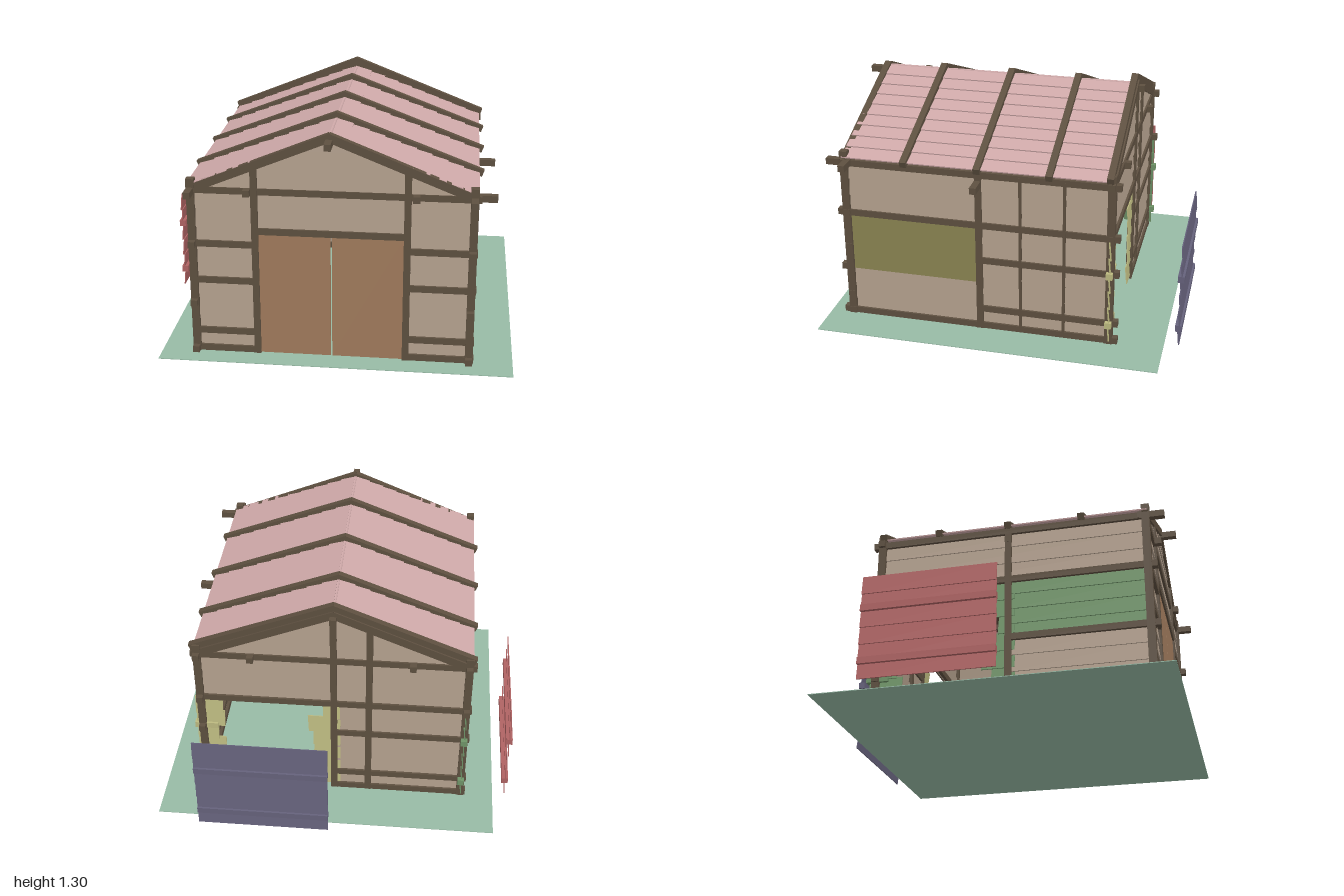
import * as THREE from 'three';

const X0 = -0.72, X1 = 0.755, XM = 0.01, Z0 = -0.6, Z1 = 0.87, ZM = 0.12;
const COLORS = {
  beam: 0x5e5040, wall: 0xb09d8b, door: 0xa17b5c, roof: 0xcfa9a9, ground: 0x98bba6,
  olive: 0x86804f, green: 0x6f9468, yellow: 0xbdba80, red: 0xb06464, blue: 0x66627c,
};
const mats = {};
for (const k in COLORS) {
  mats[k] = new THREE.MeshStandardMaterial({ color: COLORS[k], flatShading: true, side: THREE.DoubleSide });
}

// small seeded generator for uneven boards
let seed = 7;
const rnd = () => (seed = (seed * 16807) % 2147483647) / 2147483647;

function add(parent, name, geo, mat) {
  const m = new THREE.Mesh(geo, mats[mat]);
  m.name = name;
  parent.add(m);
  return m;
}

// box given by its min and max on each axis
function box(parent, name, xa, xb, ya, yb, za, zb, mat = 'beam') {
  const m = add(parent, name, new THREE.BoxGeometry(xb - xa, yb - ya, zb - za), mat);
  m.position.set((xa + xb) / 2, (ya + yb) / 2, (za + zb) / 2);
  return m;
}
const W = 0.018; // half thickness of timbers
const post = (p, name, x, z, top, w = W) => box(p, name, x - w, x + w, 0.005, top, z - w, z + w);
const beamX = (p, name, y, z, xa, xb) => box(p, name, xa, xb, y - W, y + W, z - W, z + W);
const beamZ = (p, name, y, x, za, zb) => box(p, name, x - W, x + W, y - W, y + W, za, zb);

// sloped timber in the x-y plane, following both roof slopes
function rafterPair(p, name, z, peakY, eaveY, xa, xb, t = 0.036, d = 0.036) {
  for (const end of [xa, xb]) {
    const dx = end - XM, dy = eaveY - peakY;
    const m = add(p, name, new THREE.BoxGeometry(Math.hypot(dx, dy) + 0.012, t, d), 'beam');
    m.position.set(XM + dx / 2, (peakY + eaveY) / 2, z);
    m.rotation.z = Math.atan2(dy, dx);
  }
}

// one lapped board: bottom edge a..b, top edge c..d, leaning outward at the foot
function board(p, a, b, c, d, y0, y1, mat) {
  const h = y1 - y0 + 0.008;
  const s = new THREE.Shape([[a, 0], [b, 0], [d, h], [c, h]].map(([u, v]) => new THREE.Vector2(u, v)));
  const m = add(p, 'board', new THREE.ExtrudeGeometry(s, { depth: 0.006, bevelEnabled: false }), mat);
  m.position.set(0, y0, 0.003);
  m.rotation.x = -0.1;
  return m;
}
function boards(p, a, b, y0, y1, n, mat = 'wall') {
  const h = (y1 - y0) / n;
  for (let i = 0; i < n; i++) board(p, a, b, a, b, y0 + i * h, y0 + (i + 1) * h, mat);
}
// broken board ends left at the edge of an opening; dir tells which way they reach
function brokenBoards(p, edge, dir, y0, y1, n, mat) {
  const h = (y1 - y0) / n;
  for (let i = 0; i < n; i++) {
    const r = edge + dir * (0.05 + 0.1 * rnd()), t = r + dir * 0.02 * (rnd() - 0.5);
    const q = edge - dir * 0.035;
    const [a, b, c, d] = dir > 0 ? [q, r, q, t] : [r, q, t, q];
    board(p, a, b, c, d, y0 + i * h, y0 + (i + 1) * h, mat);
  }
}
// boards narrowing towards the ridge
function gableBoards(p, mirror) {
  const n = 4, y0 = 0.94, h = 0.3 / n;
  for (let i = 0; i < n; i++) {
    const ya = y0 + i * h, yb = ya + h;
    const w = (y) => Math.min(0.735, (1.25 - y) / 0.4);
    board(p, mirror * XM - w(ya), mirror * XM + w(ya), mirror * XM - w(yb), mirror * XM + w(yb), ya, yb, 'wall');
  }
}
function wallGroup(parent, name, x, z, rotY) {
  const g = new THREE.Group();
  g.name = name;
  g.position.set(x, 0, z);
  g.rotation.y = rotY;
  parent.add(g);
  return g;
}

// detached boarded panel with two battens
function loosePanel(parent, name, mat, x, z, rotY, width) {
  const g = wallGroup(parent, name, x, z, rotY);
  boards(g, -width / 2, width / 2, 0.03, 0.61, 6, mat);
  for (const y of [0.13, 0.43]) box(g, 'batten', -width / 2, width / 2, y - W, y + W, -W, W, mat);
}

export function createModel() {
  seed = 7;
  const root = new THREE.Group();
  root.name = 'barn';
  box(root, 'ground', -0.91, 0.99, 0, 0.004, -0.9, 1, 'ground');

  // front wall and double door
  const front = wallGroup(root, 'frontWall', 0, Z1, 0);
  boards(front, X0, -0.385, 0.01, 0.94, 9);
  boards(front, 0.415, X1, 0.01, 0.94, 9);
  boards(front, -0.385, 0.415, 0.72, 0.94, 2);
  gableBoards(front, 1);
  box(root, 'doorRight', -0.37, 0.013, 0.008, 0.71, Z1 - 0.008, Z1 + 0.008, 'door');
  box(root, 'doorLeft', 0.021, 0.4, 0.008, 0.71, Z1 - 0.008, Z1 + 0.008, 'door');
  beamX(root, 'doorLintel', 0.72, Z1, -0.4, 0.42);

  // back wall: boarded on its right half, open on its left half
  const back = wallGroup(root, 'backWall', 0, Z0, Math.PI);
  boards(back, -XM, -X0, 0.01, 0.62, 6);
  boards(back, -X1, -X0, 0.62, 0.94, 3);
  gableBoards(back, -1);
  brokenBoards(back, -X1, 1, 0.03, 0.62, 6, 'yellow');
  brokenBoards(back, -XM, -1, 0.03, 0.62, 6, 'yellow');

  // left wall (+x), local x runs towards the back
  const left = wallGroup(root, 'leftWall', X1, 0, Math.PI / 2);
  boards(left, -Z1, -ZM, 0.01, 0.29, 3);
  boards(left, -Z1, -ZM, 0.29, 0.64, 4, 'olive');
  boards(left, -Z1, -ZM, 0.64, 0.94, 3);
  boards(left, -ZM, -Z0, 0.01, 0.94, 9);

  // right wall (-x), local x runs towards the front; open in its back half
  const right = wallGroup(root, 'rightWall', X0, 0, -Math.PI / 2);
  boards(right, ZM, Z1, 0.01, 0.29, 3);
  boards(right, ZM, Z1, 0.29, 0.64, 4, 'green');
  boards(right, Z0, Z1, 0.64, 0.94, 3);
  brokenBoards(right, Z0, 1, 0.03, 0.62, 6, 'green');
  brokenBoards(right, ZM, -1, 0.03, 0.62, 6, 'green');

  // posts
  const frame = wallGroup(root, 'frame', 0, 0, 0);
  for (const x of [X0, X1]) {
    post(frame, 'cornerPost', x, Z1, 1.0, 0.021);
    post(frame, 'cornerPost', x, Z0, 1.0, 0.021);
    post(frame, 'middlePost', x, ZM, 0.98);
  }
  for (const x of [-0.385, 0.415]) post(frame, 'doorPost', x, Z1, 1.07);
  post(frame, 'backPost', XM, Z0, 1.24);
  post(frame, 'backPost', -0.185, Z0, 1.16);
  for (const z of [-0.11, -0.35]) box(frame, 'batten', X1, X1 + 0.02, 0.01, 0.94, z - 0.007, z + 0.007);

  // horizontal rails of the front and back walls
  for (const y of [0.025, 0.13, 0.43, 0.64]) {
    beamX(frame, 'frontRail', y, Z1, -0.74, -0.37);
    beamX(frame, 'frontRail', y, Z1, 0.4, 0.78);
    beamX(frame, 'backRail', y, Z0, -0.75, y > 0.6 ? 0.78 : 0.02);
  }
  beamX(frame, 'frontTie', 0.94, Z1 - 0.005, -0.74, 0.79);
  beamX(frame, 'frontTie', 0.94, 0.845, -0.74, 0.87);
  beamX(frame, 'backTie', 0.94, Z0, -0.76, 0.79);
  beamX(frame, 'middleTie', 0.885, ZM, -0.74, 0.87);

  // horizontal rails of the side walls
  for (const y of [0.025, 0.64, 0.935]) beamZ(frame, 'leftRail', y, X1, -0.65, y > 0.9 ? 0.97 : 0.92);
  for (const y of [0.13, 0.43]) beamZ(frame, 'leftRail', y, X1, -0.65, ZM);
  beamZ(frame, 'leftRailEnd', 0.3, X1, 0.85, 0.92);
  for (const y of [0.025, 0.3, 0.64]) beamZ(frame, 'rightRail', y, X0, y > 0.6 ? -0.65 : ZM, 0.92);
  beamZ(frame, 'rightPlate', 0.935, X0, -0.65, 0.97);
  for (const y of [0.13, 0.43]) {
    const stub = beamZ(frame, 'brokenRail', y, X0, -0.65, -0.53);
    stub.material = mats.green;
    const stub2 = beamX(frame, 'brokenRail', y, Z0, 0.67, 0.8);
    stub2.material = mats.yellow;
  }
  for (const x of [-0.42, 0.46]) beamZ(frame, 'joist', 0.94, x, -0.65, 0.92);
  beamZ(frame, 'ridgeBeam', 1.22, XM, -0.65, 0.97);

  // lapped roof planks, running front to back
  const roof = wallGroup(root, 'roof', 0, 0, 0);
  const rows = 9, peak = 1.25, eave = 0.965;
  for (const end of [-0.735, 0.77]) {
    const dx = end - XM, dy = eave - peak, s = Math.sign(dx);
    for (let i = 0; i < rows; i++) {
      const t = (i + 0.5) / rows;
      const len = Math.hypot(dx, dy) / rows + 0.012;
      const m = add(roof, 'roofPlank', new THREE.BoxGeometry(len, 0.007, 1.48), 'roof');
      m.position.set(XM + dx * t, peak + dy * t, 0.14);
      m.rotation.z = -s * (Math.atan2(-dy, Math.abs(dx)) - 0.08);
    }
  }
  // gable rafters and roof battens
  rafterPair(roof, 'frontRafter', Z1, 1.245, 0.94, -0.73, 0.77, 0.045);
  rafterPair(roof, 'backRafter', Z0, 1.245, 0.94, -0.73, 0.77, 0.045);
  rafterPair(roof, 'backBargeboard', -0.592, 1.285, 0.98, -0.745, 0.785);
  for (const z of [-0.27, ZM, 0.525]) rafterPair(roof, 'roofBatten', z, 1.262, 0.965, -0.75, 0.79);

  // loose panels standing outside the openings
  loosePanel(root, 'backPanel', 'blue', 0.375, -0.975, Math.PI, 0.73);
  loosePanel(root, 'sidePanel', 'red', -0.972, -0.245, -Math.PI / 2, 0.73);
  return root;
}
